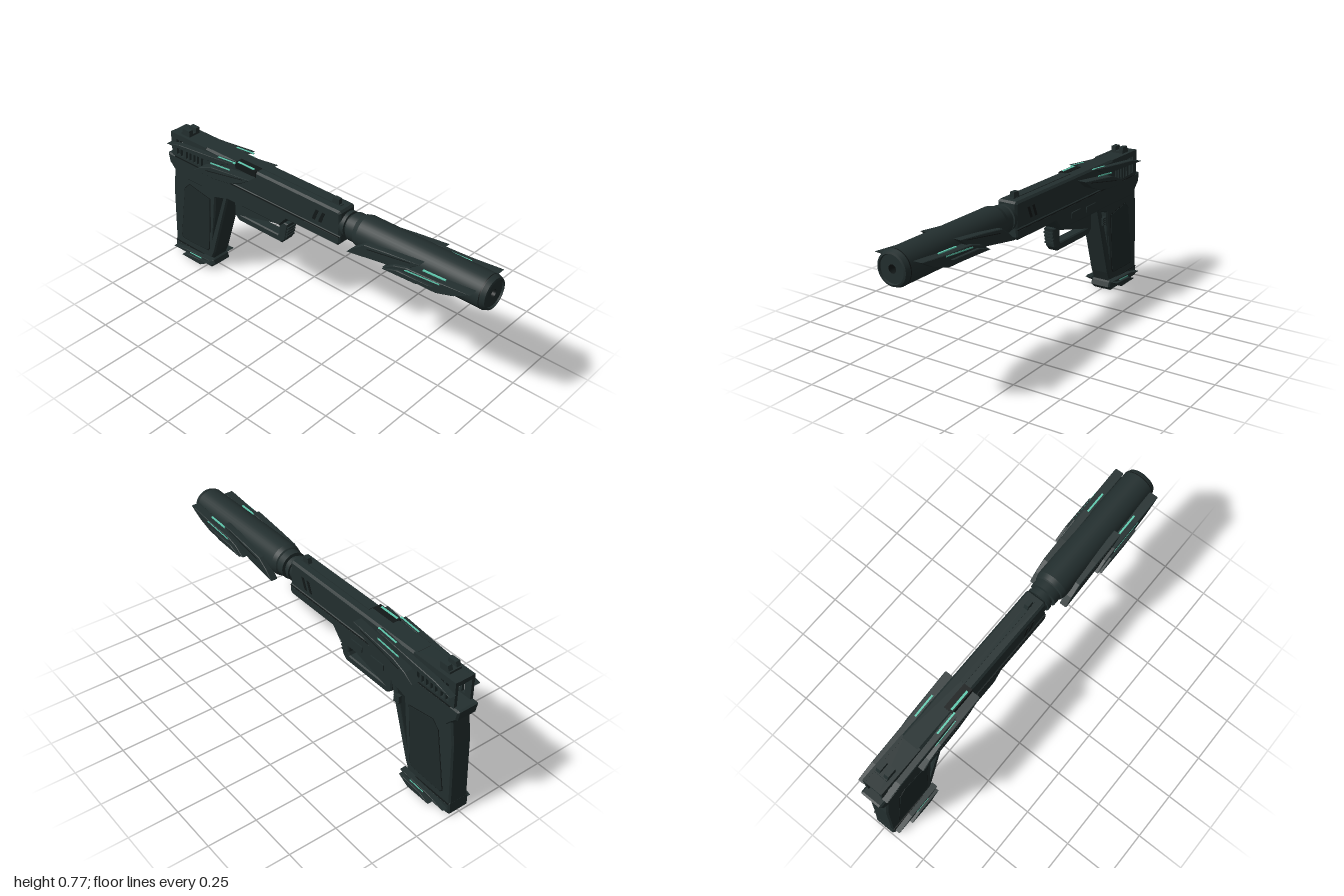
import * as THREE from 'three';

const mat = (name, color) => {
  const m = new THREE.MeshStandardMaterial({ color });
  m.name = name;
  return m;
};

export function createModel() {
  const body = mat('dark green steel', 0x232f2f);
  const panel = mat('dark grip panel', 0x1e2929);
  const black = mat('recess black', 0x121818);
  const teal = mat('teal glow', 0x5fc9ae);
  const root = new THREE.Group();
  root.name = 'pistol';

  const add = (name, geo, m, x = 0, y = 0, z = 0) => {
    const mesh = new THREE.Mesh(geo, m);
    mesh.name = name;
    mesh.position.set(x, y, z);
    root.add(mesh);
    return mesh;
  };
  const vec = (pts) => pts.map(([x, y]) => new THREE.Vector2(x, y));

  // Side outline extruded from z0 to z1 with a small chamfer
  const plate = (name, pts, z0, z1, m = body, bevel = 0, holes = []) => {
    const shape = new THREE.Shape(vec(pts));
    holes.forEach((h) => shape.holes.push(new THREE.Path(vec(h))));
    const geo = new THREE.ExtrudeGeometry(shape, {
      depth: z1 - z0 - 2 * bevel, bevelEnabled: bevel > 0, bevelSize: bevel,
      bevelThickness: bevel, bevelOffset: -bevel, bevelSegments: 1,
    });
    return add(name, geo, m, 0, 0, z0 + bevel);
  };
  // Same outline on both sides of the model
  const pair = (name, pts, z0, z1, m = body, bevel = 0, holes = []) => {
    plate(name + 'Left', pts, z0, z1, m, bevel, holes);
    plate(name + 'Right', pts, -z1, -z0, m, bevel, holes);
  };
  const box = (name, x0, x1, y0, y1, z0, z1, m = body) =>
    add(name, new THREE.BoxGeometry(x1 - x0, y1 - y0, z1 - z0), m,
      (x0 + x1) / 2, (y0 + y1) / 2, (z0 + z1) / 2);
  const slot = (x, y0, y1, w, lean) => [[x, y0], [x + w, y0], [x + w + lean, y1], [x + lean, y1]];

  // Slide: solid front part, hollow vented rear
  plate('slide', [[-0.71, 0.6], [0.185, 0.6], [0.185, 0.725], [0.175, 0.735], [-0.71, 0.735]],
    -0.054, 0.054, body, 0.01);
  const vents = [slot(-0.925, 0.615, 0.705, 0.018, 0.004), slot(-0.897, 0.612, 0.705, 0.02, 0.004)];
  for (let i = 0; i < 5; i++) vents.push(slot(-0.858 + i * 0.028, 0.612, 0.672, 0.015, 0.005));
  pair('ventedSlideWall', [[-0.96, 0.59], [-0.7, 0.59], [-0.7, 0.735], [-0.96, 0.735]],
    0.038, 0.054, body, 0, vents);
  box('slideRoof', -0.96, -0.7, 0.712, 0.734, -0.04, 0.04);
  box('slideRib', -0.35, 0.15, 0.73, 0.738, -0.012, 0.012);
  for (let i = 0; i < 2; i++) {
    pair('frontSlot', slot(0.012 + i * 0.04, 0.632, 0.69, 0.018, 0.025), 0.05, 0.056, black);
  }
  box('ejectionPort', -0.49, -0.35, 0.704, 0.737, 0.01, 0.0565, black);
  box('portGlow', -0.48, -0.37, 0.735, 0.7395, 0.039, 0.05, teal);

  // Sights
  for (const s of [-1, 1]) {
    const z = s * 0.0225;
    plate('rearSight', [[-0.9, 0.73], [-0.84, 0.73], [-0.84, 0.768], [-0.885, 0.768]], z - 0.012, z + 0.012);
  }
  box('rearSightBase', -0.9, -0.84, 0.73, 0.745, -0.034, 0.034);
  plate('frontSight', [[0.095, 0.73], [0.14, 0.73], [0.14, 0.765], [0.105, 0.765]], -0.011, 0.011);

  // Frame
  plate('frame', [[-0.995, 0.6], [-0.985, 0.55], [-0.955, 0.52], [-0.93, 0.49], [-0.2, 0.495],
    [-0.15, 0.55], [0.17, 0.55], [0.185, 0.565], [0.185, 0.604], [-0.985, 0.604]], -0.058, 0.058, body, 0.008);
  pair('frameSeam', [[-0.94, 0.597], [0.18, 0.597], [0.18, 0.602], [-0.94, 0.602]], 0.055, 0.0585, black);
  const ring = add('lanyardRing', new THREE.TorusGeometry(0.008, 0.0025, 6, 12), body, -0.035, 0.546, 0);
  ring.rotation.y = 0.4;

  // Grip with the open slit behind the front strap
  plate('grip', [[-0.955, 0.53], [-0.975, 0.4], [-0.99, 0.055], [-0.71, 0.055], [-0.685, 0.11], [-0.56, 0.5], [-0.55, 0.53]],
    -0.054, 0.054, body, 0.008, [[[-0.697, 0.19], [-0.6, 0.478], [-0.655, 0.46], [-0.668, 0.35]]]);
  const gripPanel = [[-0.94, 0.11], [-0.925, 0.095], [-0.735, 0.1], [-0.72, 0.12], [-0.69, 0.44], [-0.845, 0.468], [-0.885, 0.43]];
  pair('gripPanelGroove', gripPanel, 0.05, 0.055, black);
  const inner = gripPanel.map(([x, y]) => [-0.82 + (x + 0.82) * 0.965, 0.28 + (y - 0.28) * 0.98]);
  pair('gripPanel', inner, 0.05, 0.057, panel);
  plate('magazineBase', [[-0.995, 0.012], [-0.985, 0.002], [-0.72, 0], [-0.69, 0.025], [-0.7, 0.05],
    [-0.72, 0.066], [-0.99, 0.066]], -0.058, 0.058, body, 0.008);
  pair('baseGroove', [[-0.985, 0.059], [-0.72, 0.059], [-0.72, 0.064], [-0.985, 0.064]], 0.054, 0.0585, black);

  // Trigger guard, front serrations and trigger
  plate('triggerGuard', [[-0.54, 0.5], [-0.54, 0.4], [-0.51, 0.375], [-0.215, 0.375], [-0.19, 0.4], [-0.17, 0.5]],
    -0.029, 0.029, body, 0.006,
    [[[-0.517, 0.494], [-0.517, 0.43], [-0.5, 0.415], [-0.24, 0.415], [-0.232, 0.43], [-0.232, 0.494]]]);
  for (let i = 0; i < 4; i++) {
    box('guardSerration', -0.2, -0.178 + i * 0.004, 0.418 + i * 0.018, 0.428 + i * 0.018, -0.026, 0.026);
  }
  plate('trigger', [[-0.42, 0.5], [-0.375, 0.5], [-0.385, 0.465], [-0.412, 0.432], [-0.422, 0.44], [-0.4, 0.472]], -0.013, 0.013);

  // Controls on the right side
  box('slideCatch', -0.52, -0.43, 0.522, 0.552, -0.063, -0.05);
  box('takedownLever', -0.37, -0.29, 0.53, 0.56, -0.063, -0.05);
  box('magazineRelease', -0.632, -0.598, 0.405, 0.445, -0.06, -0.045);
  for (let i = 0; i < 4; i++) {
    box('releaseRidge', -0.632, -0.598, 0.405 + i * 0.011, 0.411 + i * 0.011, -0.064, -0.058);
  }

  // Barrel and suppressor, turned around the x axis
  const turned = (name, profile, m) => {
    // Each straight run gets its own rings so edges stay sharp
    for (let i = 0; i + 1 < profile.length; i++) {
      const geo = new THREE.LatheGeometry(vec([profile[i], profile[i + 1]]), 40);
      add(name, geo, m, 0, 0.657, 0).rotation.z = -Math.PI / 2;
    }
  };
  turned('barrel', [[0.054, 0.17], [0.054, 0.235]], body);
  turned('suppressor', [[0.03, 0.19], [0.064, 0.192], [0.064, 0.21], [0.054, 0.212], [0.054, 0.228],
    [0.07, 0.23], [0.07, 0.27], [0.076, 0.275], [0.083, 0.3], [0.083, 0.975], [0.075, 0.995],
    [0.066, 0.998], [0.063, 0.99], [0.02, 0.99]], body);
  turned('suppressorGroove', [[0.0836, 0.968], [0.0836, 0.973]], black);
  turned('bore', [[0.02, 0.99], [0.02, 0.93], [0, 0.93]], black);

  // Layered leaf blades along both sides
  pair('suppressorBladeRear', [[0.27, 0.59], [0.31, 0.63], [0.37, 0.672], [0.5, 0.69], [0.68, 0.71], [0.62, 0.665], [0.55, 0.635]],
    0.07, 0.108, body, 0.003);
  pair('suppressorBladeFront', [[0.49, 0.618], [0.55, 0.655], [0.62, 0.675], [0.78, 0.682], [0.955, 0.697], [0.87, 0.65], [0.78, 0.622]],
    0.078, 0.125, body, 0.003);
  pair('suppressorBladeSpur', [[0.5, 0.622], [0.58, 0.65], [0.77, 0.655], [0.68, 0.628]], 0.12, 0.138, body, 0.003);
  pair('suppressorBladeGlow', [[0.61, 0.659], [0.8, 0.674], [0.8, 0.68], [0.62, 0.667]], 0.1225, 0.1265, teal);
  pair('suppressorTopGlow', [[0.69, 0.679], [0.81, 0.684], [0.81, 0.689], [0.69, 0.684]], 0.089, 0.098, teal);

  pair('slideBladeUpper', [[-0.965, 0.675], [-0.87, 0.7], [-0.72, 0.715], [-0.49, 0.738], [-0.56, 0.705], [-0.7, 0.685]],
    0.05, 0.084, body, 0.003);
  pair('slideBladeLower', [[-0.75, 0.61], [-0.7, 0.645], [-0.62, 0.675], [-0.35, 0.708], [-0.42, 0.66], [-0.5, 0.63], [-0.6, 0.615]],
    0.05, 0.1, body, 0.003);
  pair('slideBladeGlow', [[-0.64, 0.683], [-0.5, 0.697], [-0.5, 0.704], [-0.64, 0.69]], 0.0825, 0.0855, teal);
  pair('slideTopGlow', [[-0.6, 0.722], [-0.48, 0.734], [-0.48, 0.739], [-0.6, 0.729]], 0.059, 0.068, teal);

  pair('baseBladeUpper', [[-0.98, 0.035], [-0.88, 0.058], [-0.69, 0.068], [-0.75, 0.045]], 0.05, 0.084, body, 0.002);
  pair('baseBladeLower', [[-0.9, 0.022], [-0.84, 0.046], [-0.7, 0.055], [-0.76, 0.02]], 0.05, 0.099, body, 0.002);
  pair('baseBladeGlow', [[-0.85, 0.047], [-0.76, 0.052], [-0.76, 0.057], [-0.85, 0.052]], 0.083, 0.086, teal);

  // Dark edge lines along the blades
  pair('bladeLine', [[0.39, 0.655], [0.63, 0.695], [0.63, 0.698], [0.39, 0.659]], 0.105, 0.1088, black);
  pair('bladeLine', [[-0.66, 0.64], [-0.4, 0.69], [-0.4, 0.693], [-0.66, 0.644]], 0.097, 0.1008, black);

  // The lathed runs may face inward, so show both sides of every surface
  [body, panel, black, teal].forEach((m) => { m.side = THREE.DoubleSide; });
  return root;
}
